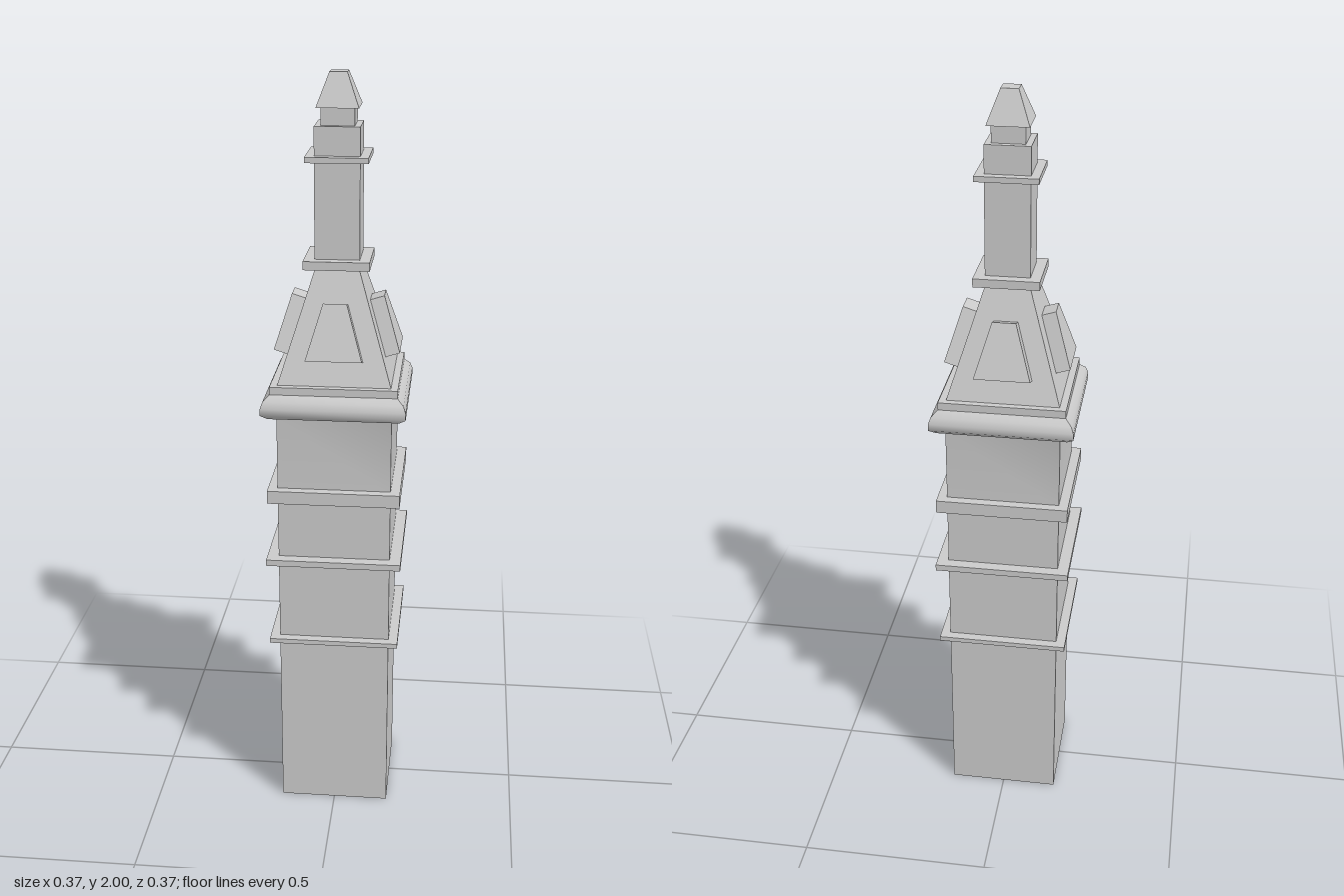
import * as THREE from 'three';
import { mergeGeometries } from 'three/addons/utils/BufferGeometryUtils.js';

export function createModel() {
  const model = new THREE.Group();
  const flat = new THREE.MeshStandardMaterial({ color: 0xcccccc, flatShading: true });
  const smooth = new THREE.MeshStandardMaterial({ color: 0xcccccc });

  function add(name, geometry, material = flat) {
    const mesh = new THREE.Mesh(geometry, material);
    mesh.name = name;
    model.add(mesh);
    return mesh;
  }

  // Square block between two heights; sizes are half widths at bottom and top
  function block(name, y0, y1, bottom, top = bottom) {
    const g = new THREE.CylinderGeometry(top * Math.SQRT2, bottom * Math.SQRT2, y1 - y0, 4);
    g.rotateY(Math.PI / 4).translate(0, (y0 + y1) / 2, 0);
    return add(name, g);
  }

  // Square moulding: four mitred sides, each smooth along its profile
  function moulding(name, profile) {
    const points = profile.map(([r, y]) => new THREE.Vector2(r * Math.SQRT2, y));
    const sides = [0, 1, 2, 3].map((i) => {
      const g = new THREE.LatheGeometry(points, 1, Math.PI / 4 + i * Math.PI / 2, Math.PI / 2);
      g.computeVertexNormals();
      return g;
    });
    return add(name, mergeGeometries(sides), smooth);
  }

  // Shaft with its bands
  block('shaft', 0, 0.95, 0.148);
  block('lowerBand', 0.507, 0.52, 0.173);
  block('middleBand', 0.743, 0.76, 0.178);
  block('upperBand', 0.922, 0.957, 0.173);

  // Shaft head flowing into the rounded cornice
  moulding('cornice', [
    [0.148, 0.95], [0.148, 1.152], [0.168, 1.156], [0.185, 1.17],
    [0.185, 1.188], [0.179, 1.205], [0.163, 1.22],
  ]);
  block('corniceSlab', 1.219, 1.24, 0.163);

  // Tapered roof
  const roof = { y0: 1.24, y1: 1.526, r0: 0.145, r1: 0.055 };
  block('roof', roof.y0, roof.y1, roof.r0, roof.r1);

  // Raised trapezoid panels lying on the four roof slopes
  const tilt = Math.atan2(roof.r0 - roof.r1, roof.y1 - roof.y0);
  const length = 0.145;
  const panelShape = new THREE.Shape([
    new THREE.Vector2(-0.072, 0), new THREE.Vector2(0.072, 0),
    new THREE.Vector2(0.03, length), new THREE.Vector2(-0.03, length),
  ]);
  const panelGeometry = new THREE.ExtrudeGeometry(panelShape, { depth: 0.038, bevelEnabled: false });
  panelGeometry.rotateX(-tilt).translate(0, 1.3, 0.126);
  ['front', 'left', 'back', 'right'].forEach((side, i) => {
    add(side + 'Panel', panelGeometry).rotation.y = i * Math.PI / 2;
  });

  // Slender upper column and finial
  block('columnBase', 1.525, 1.547, 0.084);
  block('column', 1.547, 1.875, 0.057);
  block('columnBand', 1.79, 1.804, 0.079);
  block('finialNeck', 1.875, 1.918, 0.042);
  block('finial', 1.918, 2, 0.053, 0.022);

  return model;
}
